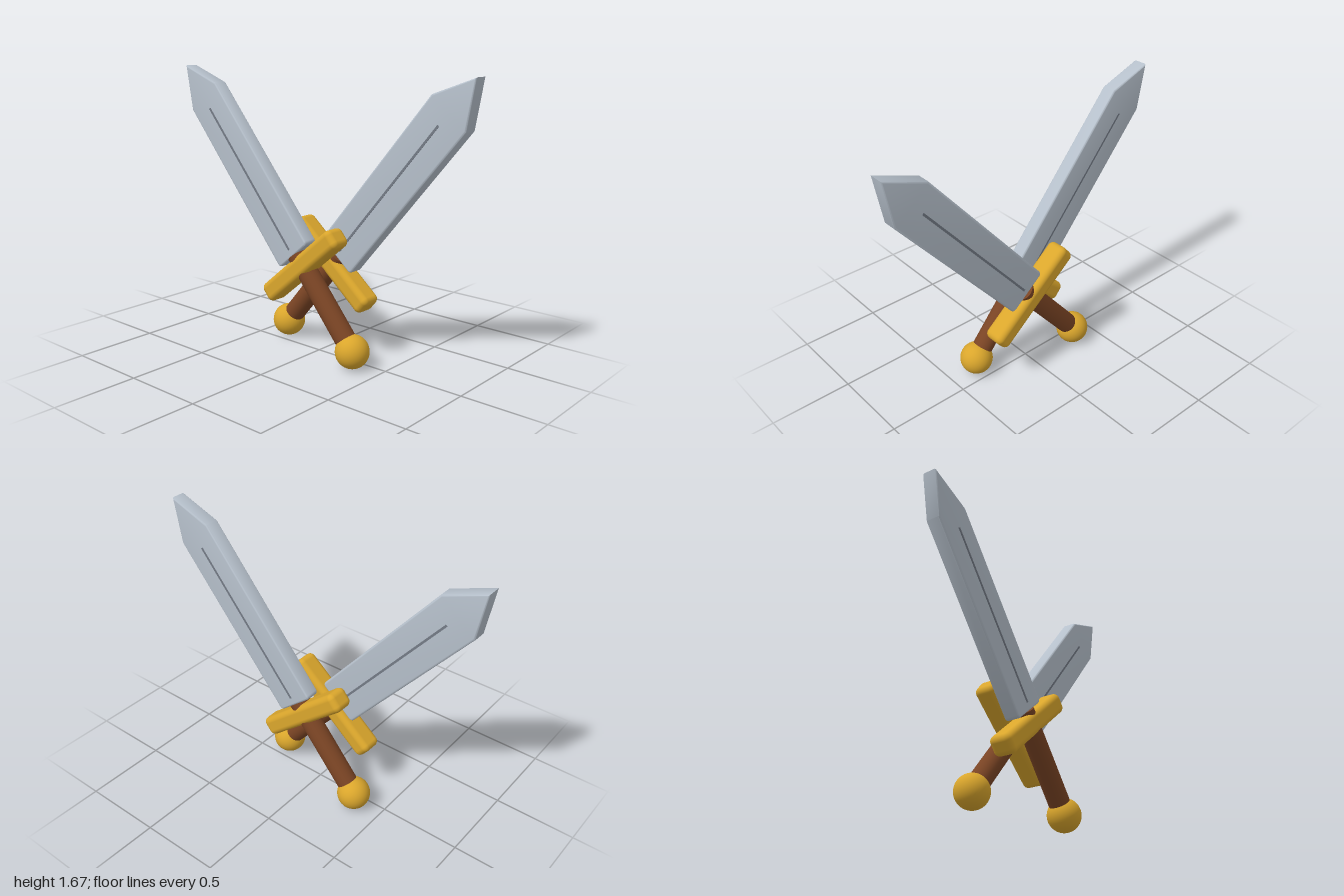
import * as THREE from 'three';
import { toCreasedNormals } from 'three/addons/utils/BufferGeometryUtils.js';
import { RoundedBoxGeometry } from 'three/addons/geometries/RoundedBoxGeometry.js';

const material = (name, color) => {
  const m = new THREE.MeshStandardMaterial({ color });
  m.name = name;
  return m;
};

// Pointed blade outline, extruded with softened edges
function bladeGeometry(halfWidth, base, shoulder, tip, depth, bevel) {
  const w = halfWidth - bevel, b = base + bevel, r = 0.012;
  const shape = new THREE.Shape();
  shape.moveTo(-w + r, b);
  shape.lineTo(w - r, b);
  shape.quadraticCurveTo(w, b, w, b + r);
  shape.lineTo(w, shoulder);
  shape.lineTo(0, tip - bevel * 2);
  shape.lineTo(-w, shoulder);
  shape.lineTo(-w, b + r);
  shape.quadraticCurveTo(-w, b, -w + r, b);
  const geometry = new THREE.ExtrudeGeometry(shape, {
    depth: depth - 2 * bevel, bevelSize: bevel, bevelThickness: bevel,
    bevelSegments: 4, curveSegments: 4,
  });
  geometry.translate(0, 0, -depth / 2 + bevel);
  return toCreasedNormals(geometry, 0.6);
}

export function createModel() {
  const steel = material('steel', 0xb6c0cb);
  const darkSteel = material('dark steel', 0x747b86);
  const gold = material('gold', 0xdaa62c);
  const leather = material('brown leather', 0x7a4424);

  // Sword built along +y with the pommel at the origin
  function sword(name) {
    const group = new THREE.Group();
    group.name = name;
    const add = (partName, geometry, mat, y = 0, z = 0) => {
      const mesh = new THREE.Mesh(geometry, mat);
      mesh.name = partName;
      mesh.position.set(0, y, z);
      group.add(mesh);
    };
    add('pommel', new THREE.SphereGeometry(0.1, 40, 28), gold);
    add('grip', new THREE.CylinderGeometry(0.063, 0.063, 0.62, 32), leather, 0.34);
    add('crossguard', new RoundedBoxGeometry(0.69, 0.12, 0.137, 5, 0.035), gold, 0.575);
    add('blade', bladeGeometry(0.141, 0.648, 1.806, 2.06, 0.092, 0.012), steel);
    // Narrow central line on both faces of the blade
    for (const side of [1, -1]) {
      add(side > 0 ? 'frontFuller' : 'backFuller',
        new THREE.BoxGeometry(0.013, 1.025, 0.008), darkSteel, 1.207, side * 0.045);
    }
    return group;
  }

  // Two swords crossed, the second a half turn of the first
  const model = new THREE.Group();
  model.name = 'crossedSwords';
  ['frontSword', 'backSword'].forEach((name, i) => {
    const s = sword(name);
    s.position.set(0.325, 0.1, 0.085);
    s.rotation.z = THREE.MathUtils.degToRad(40);
    const half = new THREE.Group();
    half.name = name + 'Mount';
    half.rotation.y = i * Math.PI;
    half.add(s);
    model.add(half);
  });
  return model;
}
